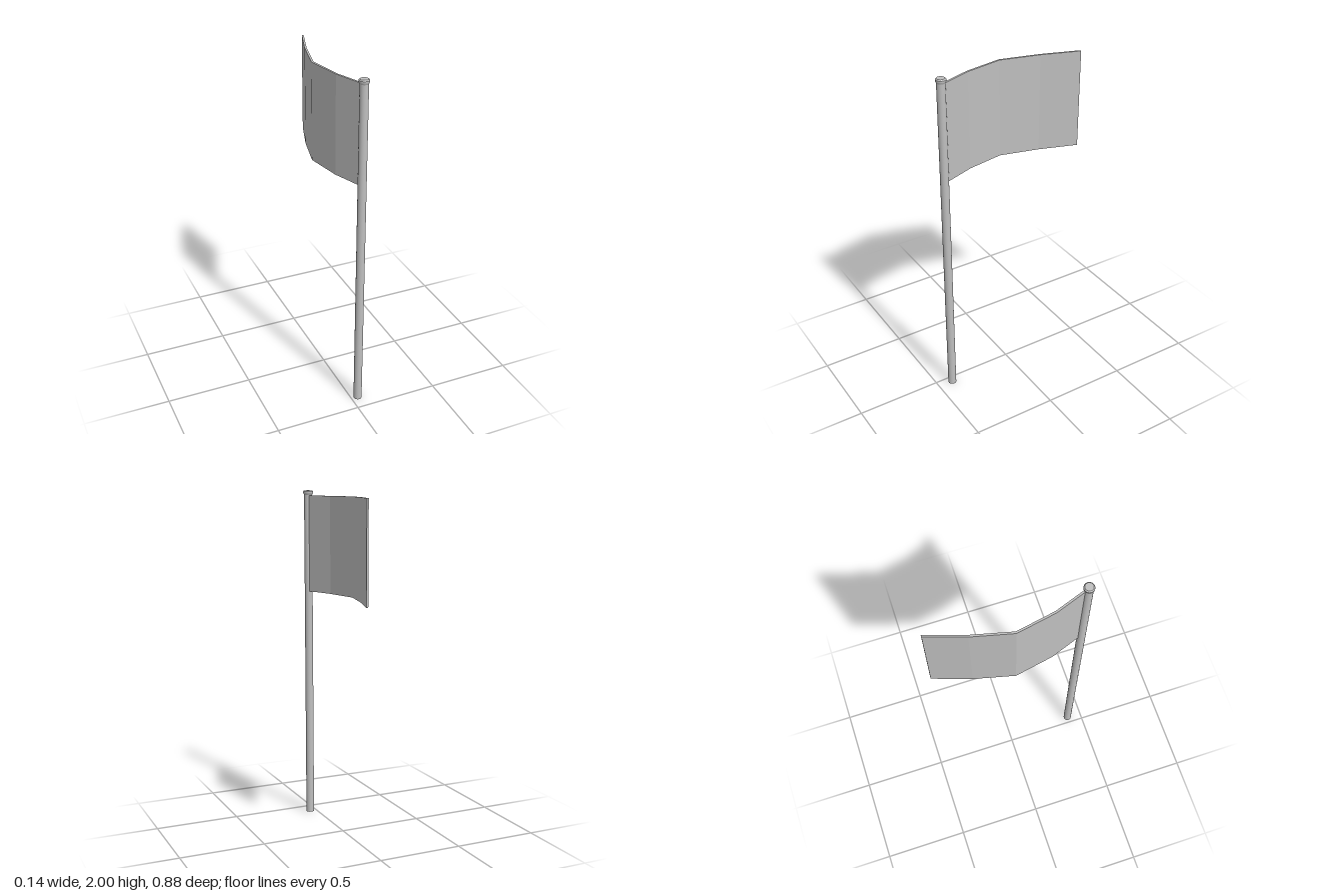
import * as THREE from 'three';
import { toCreasedNormals } from 'three/addons/utils/BufferGeometryUtils.js';

export function createModel() {
  const group = new THREE.Group();
  const grey = new THREE.MeshStandardMaterial({ color: 0xbfbfbf });
  grey.name = 'grey';
  const add = (name, geometry) => {
    const mesh = new THREE.Mesh(geometry, grey);
    mesh.name = name;
    group.add(mesh);
    return mesh;
  };
  const poleX = 0.04, poleZ = 0.41;

  // Pole
  add('pole', new THREE.CylinderGeometry(0.024, 0.024, 1.976, 24)).position.set(poleX, 0.988, poleZ);

  // Flared cap with bevelled rim
  const profile = [[0, 1.974], [0.024, 1.974], [0.029, 1.984], [0.029, 1.994], [0.023, 2], [0, 2]];
  const cap = new THREE.LatheGeometry(profile.map(([r, y]) => new THREE.Vector2(r, y)), 24);
  add('poleCap', toCreasedNormals(cap, 0.5)).position.set(poleX, 0, poleZ);

  // Flag: a bent strip of even thickness, drawn in plan as (x, -z) and raised
  const path = [[0.043, -0.4], [-0.023, -0.218], [-0.065, 0], [-0.01, 0.225], [0.062, 0.44]]
    .map(([x, y]) => new THREE.Vector2(x, y));
  const half = 0.0058;
  const normalAt = (i) => {
    const a = path[Math.max(i - 1, 0)], b = path[Math.min(i + 1, path.length - 1)];
    const d = b.clone().sub(a).normalize();
    return new THREE.Vector2(-d.y, d.x).multiplyScalar(half);
  };
  const left = path.map((p, i) => p.clone().add(normalAt(i)));
  const right = path.map((p, i) => p.clone().sub(normalAt(i)));
  // Square the free end with the depth axis
  left[4].y = right[4].y = 0.44;
  const flag = new THREE.ExtrudeGeometry(new THREE.Shape([...right, ...left.reverse()]), {
    depth: 0.57, bevelEnabled: false,
  });
  flag.rotateX(-Math.PI / 2);
  add('flag', flag).position.y = 1.4;

  return group;
}
